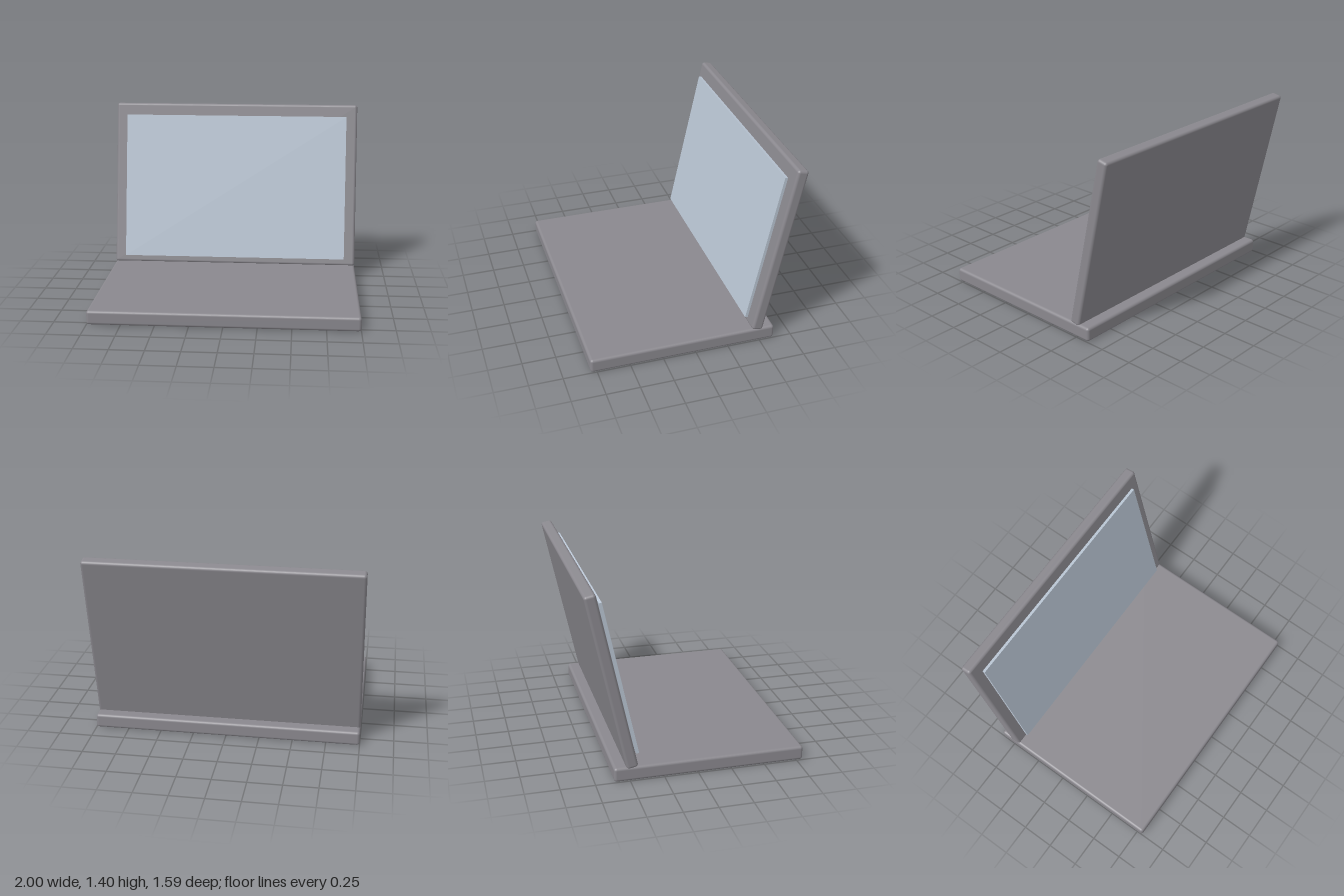
import * as THREE from 'three';
import { RoundedBoxGeometry } from 'three/addons/geometries/RoundedBoxGeometry.js';

const TILT = -THREE.MathUtils.degToRad(12);

export function createModel() {
  const model = new THREE.Group();
  model.name = 'laptop';

  const casing = new THREE.MeshStandardMaterial({ color: 0x8a888e });
  casing.name = 'casing grey';
  const glass = new THREE.MeshStandardMaterial({ color: 0xb9c5d3 });
  glass.name = 'screen blue';

  const add = (name, geometry, material, y, z, tilt = 0) => {
    const mesh = new THREE.Mesh(geometry, material);
    mesh.name = name;
    mesh.position.set(0, y, z);
    mesh.rotation.x = tilt;
    model.add(mesh);
  };

  // Flat slab with softened edges
  add('base', new RoundedBoxGeometry(2, 0.107, 1.412, 4, 0.021), casing, 0.0535, 0.091);

  // Lid leaning back, set slightly into the base
  add('lid', new RoundedBoxGeometry(2, 1.333, 0.086, 4, 0.021), casing, 0.747, -0.618, TILT);

  // Sharp-edged screen panel standing just in front of the lid
  add('screen', new THREE.BoxGeometry(1.82, 1.177, 0.021), glass, 0.739, -0.547, TILT);

  return model;
}
